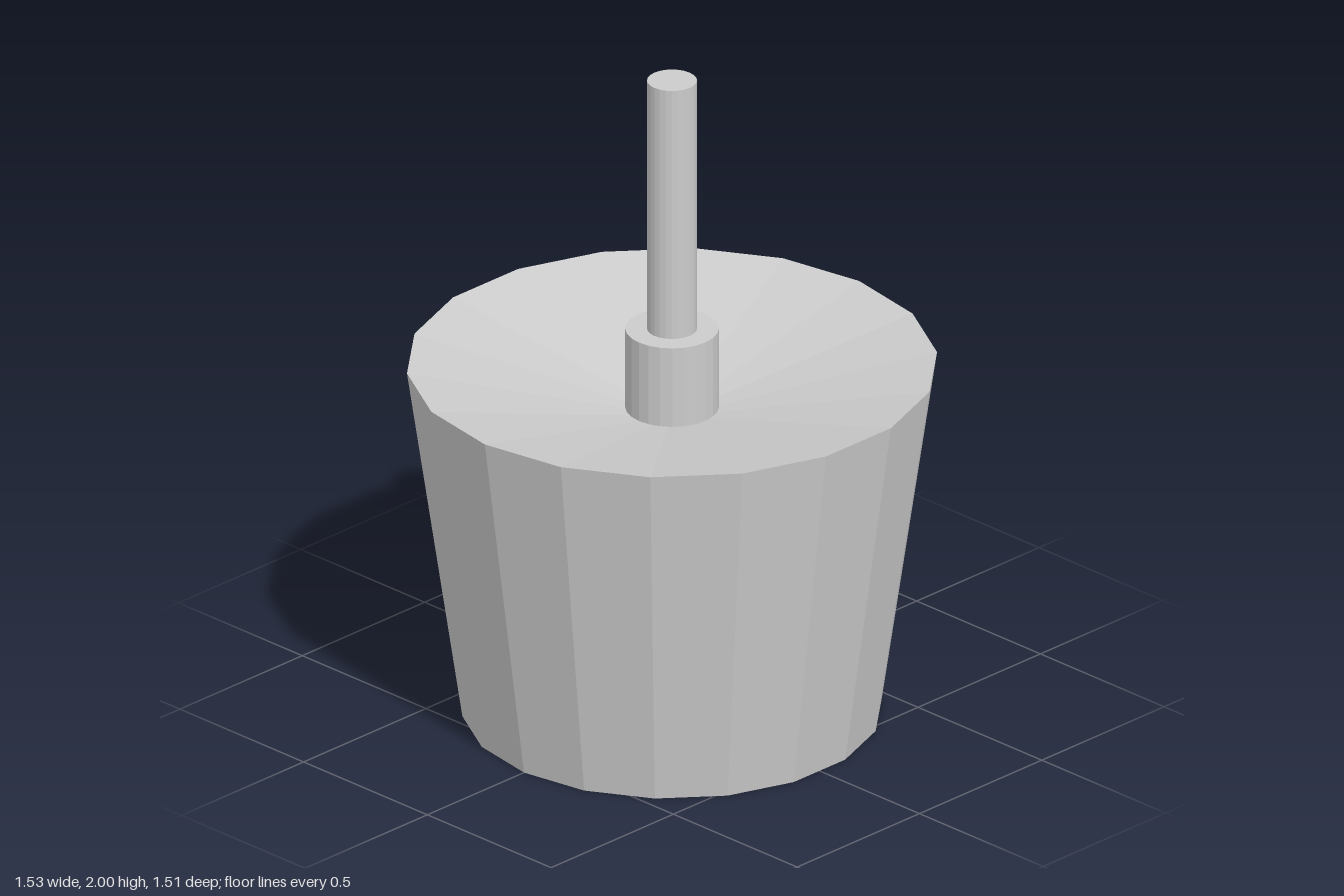
import * as THREE from 'three';

const material = new THREE.MeshStandardMaterial({ color: 0xcccccc, flatShading: true });

// Revolve a profile of [radius, height] pairs, listed from bottom to top
function lathe(name, profile, sides) {
  const points = profile.map(([r, y]) => new THREE.Vector2(r, y));
  const mesh = new THREE.Mesh(new THREE.LatheGeometry(points, sides, Math.PI / 2), material);
  mesh.name = name;
  return mesh;
}

function cylinder(name, radius, bottom, top) {
  return lathe(name, [[0, bottom], [radius, bottom], [radius, top], [0, top]], 24);
}

export function createModel() {
  const group = new THREE.Group();
  group.name = 'pendantLamp';

  // Tapered shade: hollow cone below, shallow dish on top, both meeting at the centre
  group.add(lathe('shade', [[0, 0.93], [0.605, 0], [0.765, 1.1], [0, 0.93]], 18));

  // Collar and hanging rod
  group.add(cylinder('collar', 0.135, 0.72, 1.21));
  group.add(cylinder('rod', 0.072, 1.2, 2));

  // Bulb: globe with a flat underside, narrowing to a neck
  const globe = [[0, 0.186]];
  for (let i = 0; i <= 7; i++) {
    const a = THREE.MathUtils.degToRad(-45 + i * 15);
    globe.push([0.149 * Math.cos(a), 0.291 + 0.149 * Math.sin(a)]);
  }
  globe.push([0.072, 0.45], [0.072, 0.74]);
  group.add(lathe('bulb', globe, 20));

  return group;
}
